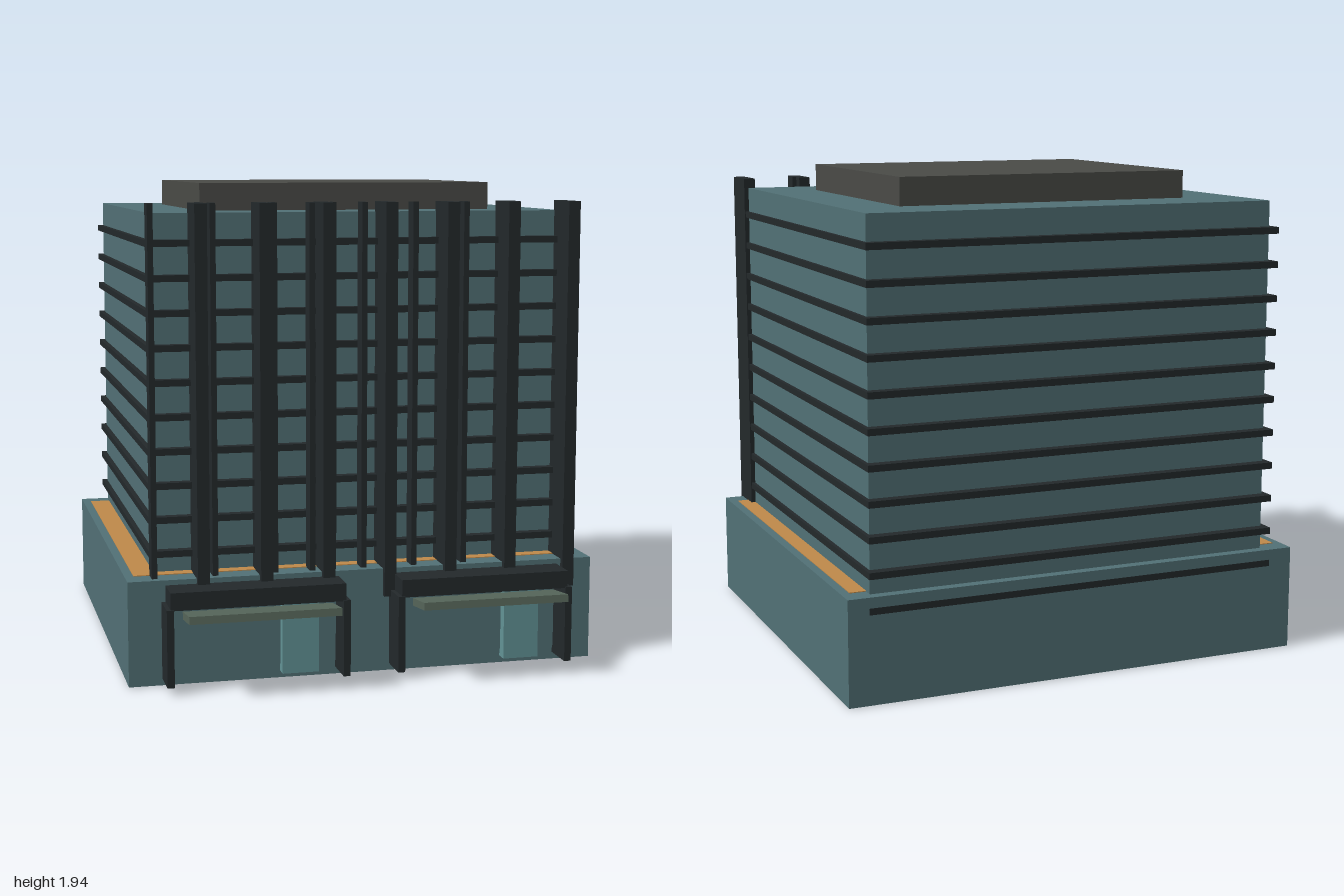
import * as THREE from 'three';

const paint = (color) => new THREE.MeshStandardMaterial({ color });

export function createModel() {
  const model = new THREE.Group();
  model.name = 'officeBuilding';

  const wall = paint(0x527176);
  const dark = paint(0x23292b);
  const terraceFloor = paint(0xc08a4a);
  const roofGrey = paint(0x4a4b47);
  const awningGrey = paint(0x56665a);
  const glass = paint(0x639497);

  // Box given by its extents on each axis
  function block(name, material, [x0, x1], [y0, y1], [z0, z1], parent = model) {
    const mesh = new THREE.Mesh(new THREE.BoxGeometry(x1 - x0, y1 - y0, z1 - z0), material);
    mesh.position.set((x0 + x1) / 2, (y0 + y1) / 2, (z0 + z1) / 2);
    mesh.name = name;
    parent.add(mesh);
    return mesh;
  }

  // Podium with the terrace deck let into it, tower and rooftop plant room
  block('podium', wall, [-0.95, 0.95], [0.002, 0.42], [-1, 0.73]);
  block('terraceDeck', terraceFloor, [-0.915, 0.915], [0, 0.423], [-0.92, 0.64]);
  block('tower', wall, [-0.83, 0.85], [0.42, 1.83], [-0.96, 0.59]);
  block('plantRoom', roofGrey, [-0.59, 0.62], [1.83, 1.94], [-0.69, 0.34]);

  // Floor slabs; the lowest one only shows at the back of the podium
  const floors = new THREE.Group();
  floors.name = 'floorSlabs';
  model.add(floors);
  for (let i = 0; i < 11; i++) {
    const y = 0.365 + i * 0.135;
    block('floorSlab', dark, [-0.85, 0.865], [y - 0.013, y + 0.013], [-1.001, 0.63], floors);
  }

  // Deep fins at even spacing and slim mullions between them
  const facade = new THREE.Group();
  facade.name = 'facade';
  model.add(facade);
  for (let i = 0; i < 7; i++) {
    const x = -0.655 + i * 0.25;
    block('fin', dark, [x - 0.024, x + 0.024], [0.31, 1.87], [0.585, 0.755], facade);
  }
  for (const x of [-0.84, -0.6, -0.36, -0.21, -0.125, 0, 0.115, 0.207, 0.415, 0.625]) {
    block('mullion', dark, [x - 0.011, x + 0.011], [0.42, 1.87], [0.63, 0.7], facade);
  }

  // Two entrances, each with posts, canopy, awning, glazing and a door
  for (const [side, x, doorX] of [['right', -0.458, -0.277], ['left', 0.458, 0.637]]) {
    const entrance = new THREE.Group();
    entrance.name = side + 'Entrance';
    model.add(entrance);
    for (const s of [-1, 1]) {
      const px = x + s * 0.347;
      block('post', dark, [px - 0.014, px + 0.014], [0.03, 0.335], [0.73, 0.87], entrance);
    }
    block('canopy', dark, [x - 0.345, x + 0.345], [0.33, 0.4], [0.73, 0.862], entrance);
    block('shopfront', wall, [x - 0.335, x + 0.335], [0.06, 0.335], [0.72, 0.738], entrance);
    block('door', glass, [doorX - 0.073, doorX + 0.073], [0.03, 0.31], [0.72, 0.78], entrance);
    const awning = block('awning', awningGrey, [x - 0.295, x + 0.295], [0.3, 0.33], [0.84, 0.999], entrance);
    awning.rotation.x = -0.12;
  }

  return model;
}
